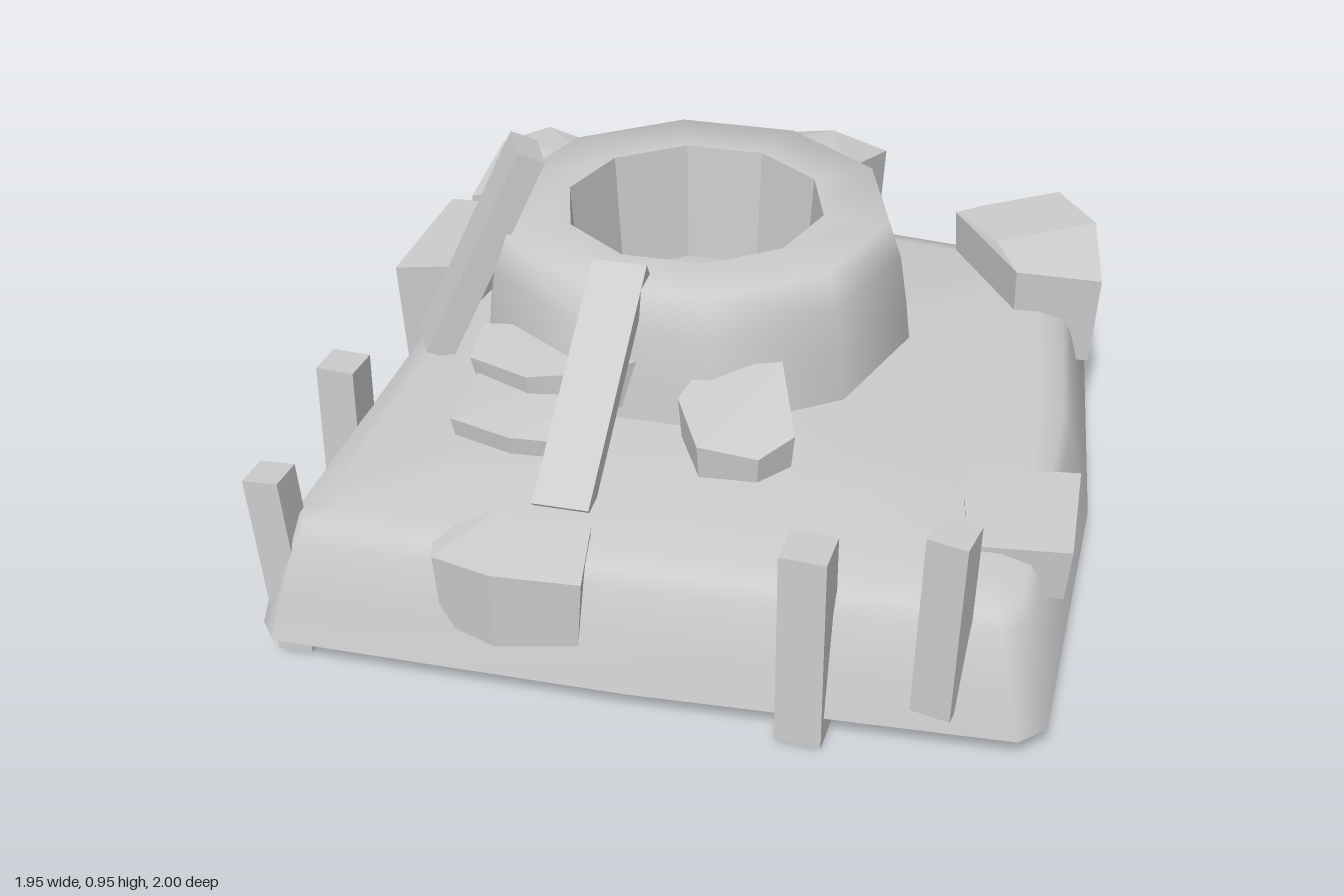
import * as THREE from 'three';
import { toCreasedNormals } from 'three/addons/utils/BufferGeometryUtils.js';
import { ConvexGeometry } from 'three/addons/geometries/ConvexGeometry.js';

const smooth = new THREE.MeshStandardMaterial({ color: 0xcccccc });
const flat = new THREE.MeshStandardMaterial({ color: 0xcccccc, flatShading: true });

function add(group, name, geometry, material = flat) {
  const mesh = new THREE.Mesh(geometry, material);
  mesh.name = name;
  group.add(mesh);
  return mesh;
}

// Slab lofted through shrinking copies of one outline, closed top and bottom
function slabGeometry() {
  const outline = [[-0.92, 0.92], [-0.87, 0.98], [0, 0.97], [0.9, 0.92], [0.96, 0.86], [0.98, 0],
    [0.9, -0.84], [0.83, -0.91], [0, -1], [-0.84, -0.92], [-0.9, -0.83], [-0.92, 0]];
  const levels = [[0.08, 1], [0.2, 0.97], [0.33, 0.935], [0.37, 0.91], [0.39, 0.84]];
  const n = outline.length, pos = [], index = [];
  for (const [y, s] of levels) for (const [x, z] of outline) pos.push(x * s, y, z * s);
  pos.push(0, 0.08, 0, 0, 0.39, 0);
  const low = n * levels.length, high = low + 1, last = n * (levels.length - 1);
  for (let i = 0; i < n; i++) {
    const k = (i + 1) % n;
    for (let l = 0; l < levels.length - 1; l++) {
      const a = l * n + i, b = l * n + k;
      index.push(a, b, b + n, a, b + n, a + n);
    }
    index.push(low, k, i, high, last + i, last + k);
  }
  const g = new THREE.BufferGeometry();
  g.setAttribute('position', new THREE.Float32BufferAttribute(pos, 3));
  g.setIndex(index);
  return toCreasedNormals(g, 0.95);
}

// Faceted rock: a top polygon [x, y, z] and a slightly smaller base below it
function rockGeometry(top, base, shrink = 0.93) {
  const c = new THREE.Vector3();
  const points = top.map(p => new THREE.Vector3(...p));
  points.forEach(p => c.addScaledVector(p, 1 / top.length));
  const lower = points.map(p => new THREE.Vector3(
    c.x + (p.x - c.x) * shrink, base, c.z + (p.z - c.z) * shrink));
  return new ConvexGeometry([...points, ...lower]);
}

// Straight timber between two points
function beam(group, name, from, to, width, thickness, side) {
  const a = new THREE.Vector3(...from), b = new THREE.Vector3(...to);
  const up = b.clone().sub(a), length = up.length();
  up.normalize();
  const x = new THREE.Vector3(...side);
  x.addScaledVector(up, -x.dot(up)).normalize();
  const z = x.clone().cross(up);
  const mesh = add(group, name, new THREE.BoxGeometry(width, length, thickness));
  mesh.quaternion.setFromRotationMatrix(new THREE.Matrix4().makeBasis(x, up, z));
  mesh.position.copy(a.add(b).multiplyScalar(0.5));
}

export function createModel() {
  const model = new THREE.Group();
  model.name = 'ruinedFoundation';
  add(model, 'groundSlab', slabGeometry(), smooth);

  // Round mound with softened rim, and the ten-sided pit wall inside it
  const v = (r, y) => new THREE.Vector2(r, y);
  const mound = add(model, 'mound', new THREE.LatheGeometry(
    [v(0.595, 0.37), v(0.58, 0.5), v(0.56, 0.63), v(0.525, 0.73), v(0.35, 0.73)], 10, Math.PI / 2), smooth);
  mound.position.set(-0.14, 0, -0.26);
  const pit = add(model, 'pitWall', new THREE.LatheGeometry(
    [v(0.35, 0.73), v(0.325, 0.38)], 10, Math.PI / 2).toNonIndexed());
  pit.position.set(-0.14, 0, -0.26);

  // Rubble
  const rocks = {
    backRightRock: [0.22, [[-0.9, 0.5, -0.58], [-0.88, 0.57, -0.82], [-0.77, 0.58, -0.93],
      [-0.56, 0.58, -0.83], [-0.58, 0.6, -0.72], [-0.74, 0.56, -0.54]]],
    rightRock: [0.18, [[-0.95, 0.5, -0.55], [-0.97, 0.48, -0.15], [-0.74, 0.52, -0.14], [-0.69, 0.53, -0.5]]],
    backRock: [0.34, [[-0.18, 0.6, -0.98], [0.1, 0.64, -0.98], [0.27, 0.62, -0.92],
      [0.19, 0.65, -0.71], [0, 0.65, -0.76], [-0.17, 0.64, -0.79]]],
    backLeftRock: [0.24, [[0.5, 0.51, -0.79], [0.57, 0.52, -0.83], [0.78, 0.55, -0.91],
      [0.9, 0.56, -0.72], [0.94, 0.5, -0.49], [0.71, 0.51, -0.47], [0.64, 0.53, -0.6]]],
    leftRock: [0.28, [[0.7, 0.42, 0.36], [0.96, 0.43, 0.34], [0.97, 0.42, 0.65],
      [0.73, 0.4, 0.65], [0.7, 0.41, 0.47]]],
    frontRock: [0.18, [[-0.49, 0.37, 0.85], [-0.35, 0.42, 0.8], [-0.12, 0.41, 0.8],
      [-0.1, 0.36, 0.95], [-0.3, 0.39, 1], [-0.46, 0.37, 0.94]]],
    smallRock: [0.37, [[0, 0.53, 0.25], [0.2, 0.55, 0.2], [0.28, 0.48, 0.42],
      [0.21, 0.46, 0.51], [0.06, 0.48, 0.52], [-0.03, 0.5, 0.35]]],
    lowerStone: [0.37, [[-0.58, 0.45, 0.28], [-0.58, 0.44, 0.48], [-0.41, 0.44, 0.53],
      [-0.28, 0.44, 0.52], [-0.24, 0.47, 0.35], [-0.3, 0.48, 0.2]]],
    upperStone: [0.42, [[-0.61, 0.51, 0.13], [-0.6, 0.49, 0.27], [-0.42, 0.51, 0.36],
      [-0.22, 0.54, 0.34], [-0.1, 0.56, 0.24], [-0.25, 0.56, 0.15]]],
  };
  for (const [name, [base, top]] of Object.entries(rocks)) add(model, name, rockGeometry(top, base));

  // Leaning planks
  beam(model, 'sidePlank', [-0.775, 0.39, 0.065], [-0.53, 0.94, -0.055], 0.14, 0.075, [0.45, 0, 0.89]);
  beam(model, 'frontPlank', [-0.22, 0.38, 0.71], [-0.22, 0.75, 0.17], 0.14, 0.045, [1, 0, 0]);

  // Border posts
  const posts = [
    [[-0.89, 0.04, 0.42], [-0.885, 0.52, 0.41], 0.1],
    [[-0.84, 0.01, 0.88], [-0.88, 0.49, 0.87], 0.09],
    [[0.41, 0.01, 0.91], [0.41, 0.52, 0.9], 0.11],
    [[0.71, 0.13, 0.89], [0.725, 0.61, 0.895], 0.095],
  ];
  posts.forEach(([a, b, w], i) => beam(model, 'post' + (i + 1), a, b, w, w, [1, 0, i === 3 ? 0.2 : 0.05]));
  return model;
}
